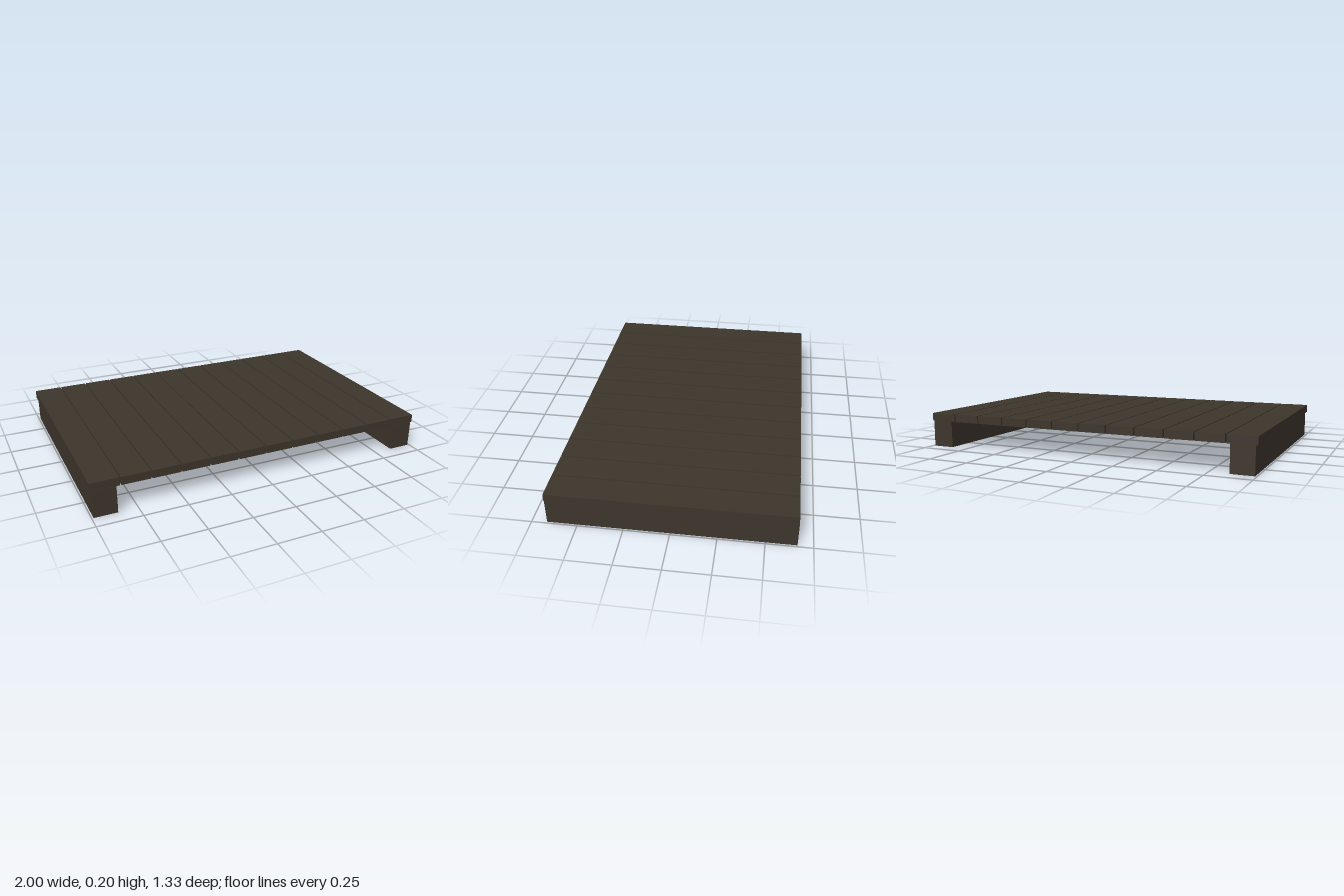
import * as THREE from 'three';

export function createModel() {
  const model = new THREE.Group();
  model.name = 'plankPlatform';
  const wood = new THREE.MeshStandardMaterial({ name: 'darkWood', color: 0x3d352c });

  function addBox(name, width, height, depth, x, y) {
    const mesh = new THREE.Mesh(new THREE.BoxGeometry(width, height, depth), wood);
    mesh.name = name;
    mesh.position.set(x, y, 0);
    model.add(mesh);
  }

  // Deck planks, laid side by side with narrow gaps
  const count = 12, gap = 0.007;
  const plankWidth = (2 - gap * (count - 1)) / count;
  for (let i = 0; i < count; i++) {
    const x = -1 + plankWidth / 2 + i * (plankWidth + gap);
    addBox(`plank${i + 1}`, plankWidth, 0.046, 1.33, x, 0.177);
  }

  // Support beams under both ends
  for (const side of [-1, 1]) {
    addBox(side > 0 ? 'leftBeam' : 'rightBeam', 0.13, 0.154, 1.334, side * 0.925, 0.077);
  }
  return model;
}
